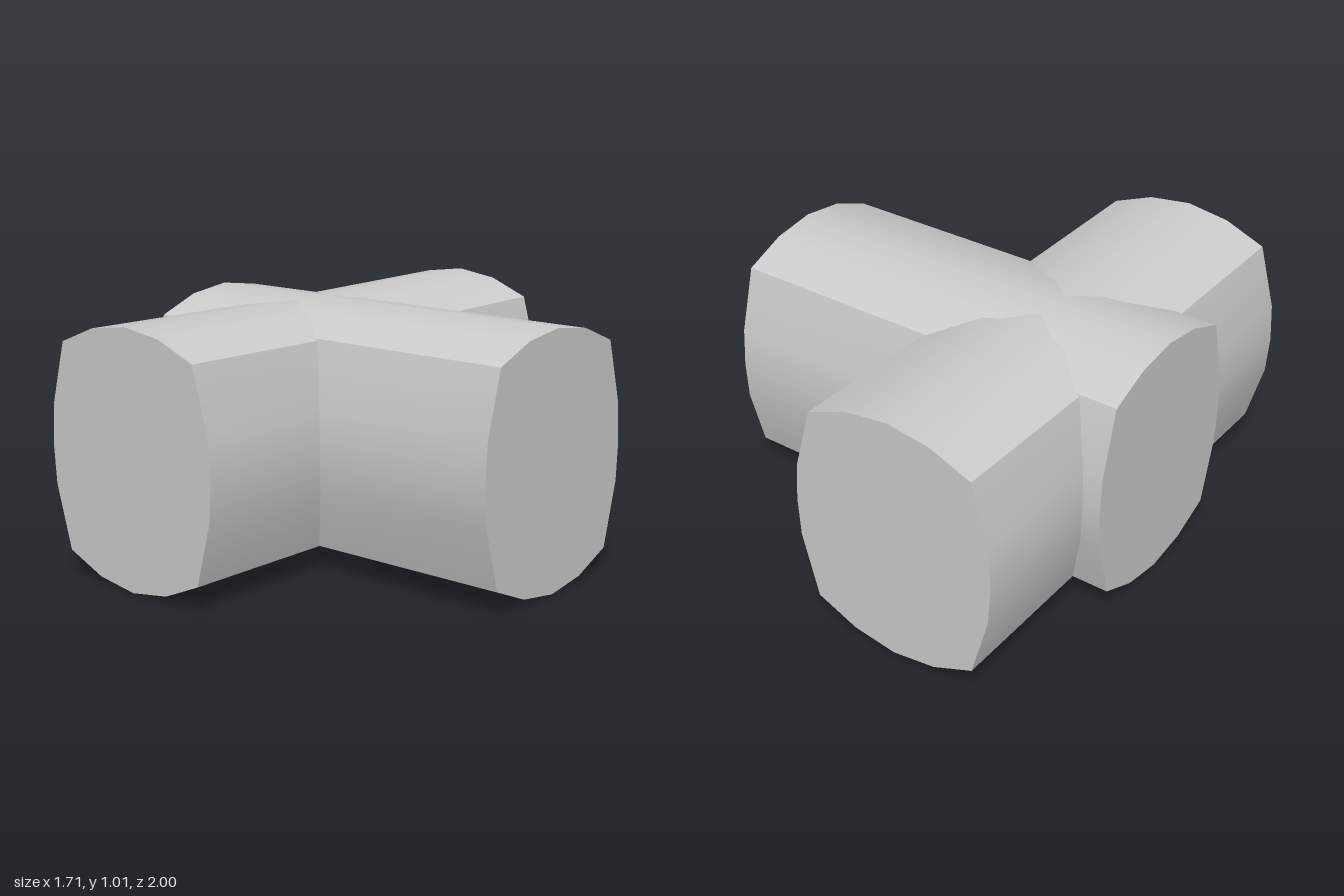
import * as THREE from 'three';
import { toCreasedNormals } from 'three/addons/utils/BufferGeometryUtils.js';

// Right half of the barrel-shaped pipe section, bottom to top
const HALF = [[0, 0], [0.18, 0.027], [0.35, 0.1], [0.42, 0.355], [0.43, 0.51],
  [0.42, 0.665], [0.35, 0.92], [0.18, 0.988], [0, 1.013]];

function sectionShape() {
  const mirrored = HALF.slice(1, -1).reverse().map(([x, y]) => [-x, y]);
  return new THREE.Shape([...HALF, ...mirrored].map(([x, y]) => new THREE.Vector2(x, y)));
}

// Solid pipe along z, centred; sag lowers the top slightly towards the middle
function pipe(name, length, sag) {
  const geometry = new THREE.ExtrudeGeometry(sectionShape(), { depth: length, steps: 2, bevelEnabled: false });
  geometry.translate(0, 0, -length / 2);
  const p = geometry.attributes.position;
  for (let i = 0; i < p.count; i++) {
    const middle = 1 - Math.abs(p.getZ(i)) / (length / 2);
    p.setY(i, p.getY(i) * (1 - sag * middle));
  }
  const mesh = new THREE.Mesh(toCreasedNormals(geometry, 0.6),
    new THREE.MeshStandardMaterial({ color: 0xcccccc }));
  mesh.name = name;
  return mesh;
}

export function createModel() {
  const group = new THREE.Group();
  group.name = 'pipeCross';

  // Long pipe running left to right
  const mainPipe = pipe('mainPipe', 1.71, 0);
  mainPipe.rotation.y = Math.PI / 2;
  mainPipe.position.z = -0.005;

  // Pipe crossing it front to back, off centre
  const crossPipe = pipe('crossPipe', 2, 0.012);
  crossPipe.position.x = -0.352;

  group.add(mainPipe, crossPipe);
  return group;
}
